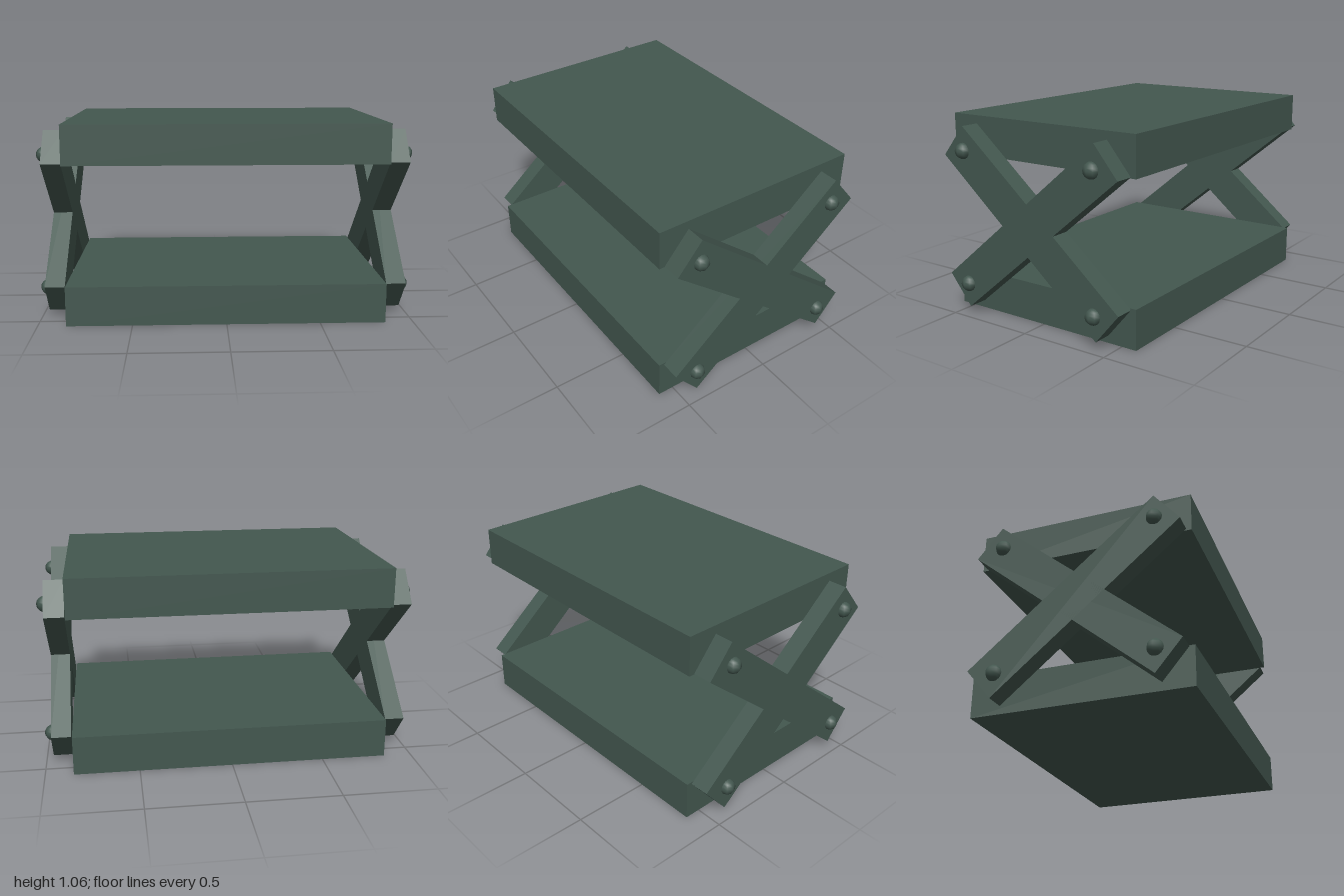
import * as THREE from 'three';

export function createModel() {
  const model = new THREE.Group();
  model.name = 'crossBracedPlatforms';
  const material = new THREE.MeshStandardMaterial({ color: 0x43574f });

  const add = (name, geometry, x, y, z, tilt = 0) => {
    const mesh = new THREE.Mesh(geometry, material);
    mesh.name = name;
    mesh.position.set(x, y, z);
    mesh.rotation.x = tilt;
    model.add(mesh);
  };

  const midY = 0.532;

  // Two identical slabs, one above the other
  const slab = new THREE.BoxGeometry(1.7, 0.212, 1.17);
  add('lowerPlatform', slab, 0, 0.106, 0);
  add('upperPlatform', slab, 0, 0.958, 0);

  // Crossed bars on each side, pinned at their four ends
  const bar = new THREE.BoxGeometry(0.105, 0.212, 1.275);
  const rivet = new THREE.SphereGeometry(0.043, 8, 8);
  const tilt = THREE.MathUtils.degToRad(39.8);
  for (const [side, s] of [['left', 1], ['right', -1]]) {
    for (const t of [1, -1]) {
      add(side + (t > 0 ? 'FallingBar' : 'RisingBar'), bar, s * 0.9065, midY, 0, t * tilt);
      for (const z of [0.424, -0.408]) {
        const name = side + (t > 0 ? 'Upper' : 'Lower') + (z > 0 ? 'Front' : 'Back') + 'Rivet';
        add(name, rivet, s * 0.957, midY + t * 0.36, z);
      }
    }
  }
  return model;
}
